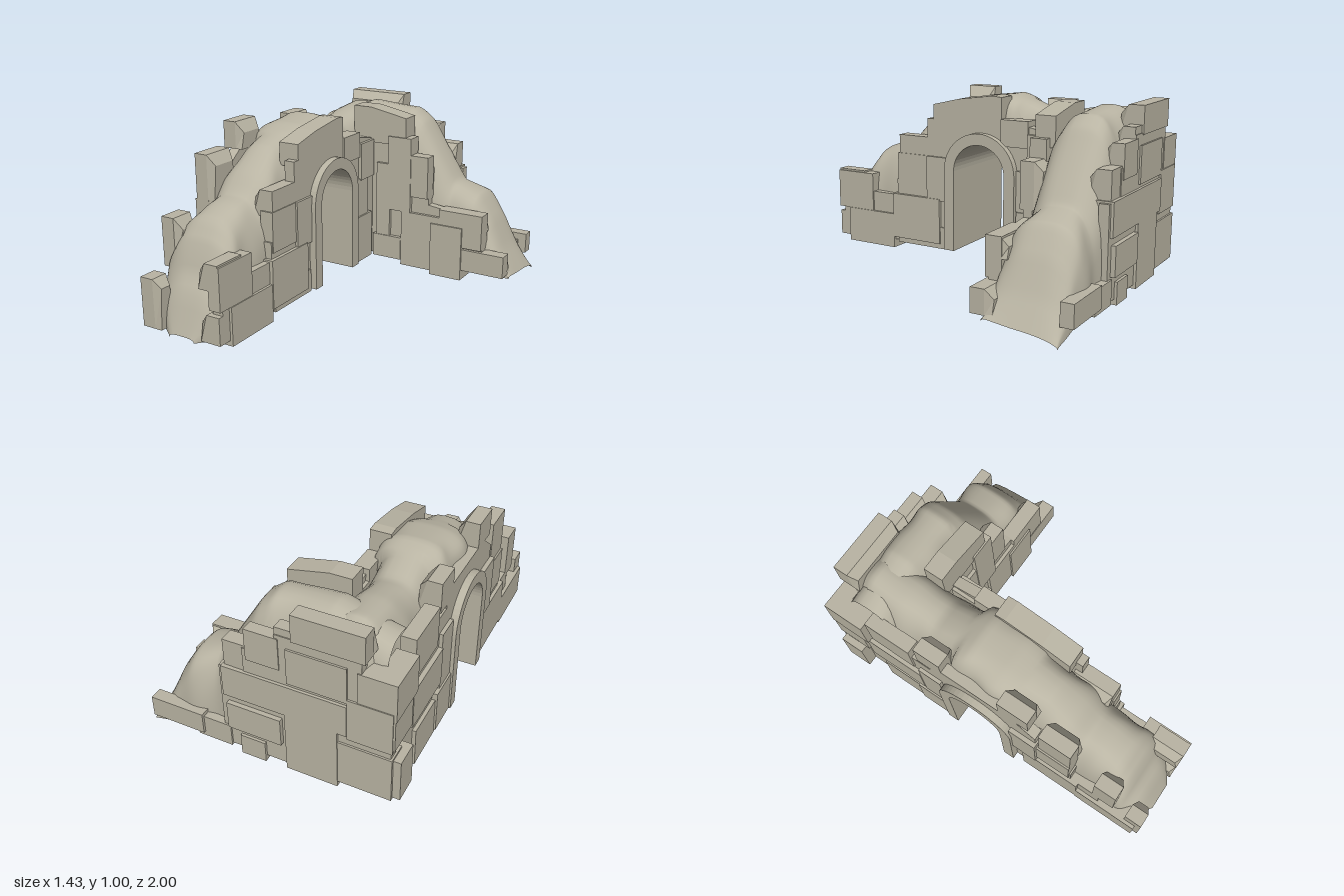
import * as THREE from 'three';
import { toCreasedNormals } from 'three/addons/utils/BufferGeometryUtils.js';

const STONE = 0xb9b4a3;
const ARCH = { z: -0.035, y: 0.555, inner: 0.163, outer: 0.228, base: 0.08 };

export function createModel() {
  const root = new THREE.Group();
  root.name = 'ruinedCornerWall';
  const flat = new THREE.MeshStandardMaterial({ color: STONE, flatShading: true });
  const smooth = new THREE.MeshStandardMaterial({ color: STONE, side: THREE.DoubleSide });

  const add = (parent, name, geo, mat = flat) => {
    const mesh = new THREE.Mesh(geo, mat);
    mesh.name = name;
    parent.add(mesh);
    return mesh;
  };
  const group = (name) => {
    const g = new THREE.Group();
    g.name = name;
    root.add(g);
    return g;
  };

  // Slab cut from a profile (u, y); runs along z or x, filling d0..d1 across
  const slab = (parent, name, shape, axis, d0, d1) => {
    const geo = new THREE.ExtrudeGeometry(shape, { depth: d1 - d0, bevelEnabled: false, curveSegments: 12 });
    if (axis === 'z') geo.rotateY(-Math.PI / 2).translate(d1, 0, 0);
    else geo.translate(0, 0, d0);
    add(parent, name, geo);
  };

  // Stone block [u0, u1, y0, y1, d0, d1, chip]; chip bevels the top edge that faces the rubble
  const block = (parent, axis, [u0, u1, y0, y1, d0, d1, chip = 0], inward) => {
    const geo = axis === 'z' ? new THREE.BoxGeometry(1, 1, 1, 2, 1, 1) : new THREE.BoxGeometry(1, 1, 1, 1, 1, 2);
    const p = geo.attributes.position;
    for (let i = 0; i < p.count; i++) {
      const a = axis === 'z' ? p.getZ(i) : p.getX(i);
      const b = axis === 'z' ? p.getX(i) : p.getZ(i);
      const top = p.getY(i) > 0;
      const chipped = top && b * inward > 0.1;
      const u = (a > 0 ? u1 : u0) - (chipped ? Math.sign(a) * chip * 0.4 : 0);
      const y = (top ? y1 : y0) - (chipped ? chip : 0);
      const d = d0 + (d1 - d0) * (Math.abs(b) < 0.1 ? 0.5 + 0.15 * inward : b + 0.5);
      p.setXYZ(i, axis === 'z' ? d : u, y, axis === 'z' ? u : d);
    }
    add(parent, 'stoneBlock', geo);
  };

  const poly = (pts) => new THREE.Shape(pts.map(([x, y]) => new THREE.Vector2(x, y)));

  const lerpTable = (table, t) => {
    let k = 0;
    while (k < table.length - 2 && t > table[k + 1][0]) k++;
    const [a, b] = [table[k], table[k + 1]];
    const s = THREE.MathUtils.clamp((t - a[0]) / (b[0] - a[0]), 0, 1);
    return a[1] + (b[1] - a[1]) * s;
  };

  // Rubble mound: rounded, lumpy cross-sections lofted along z, open below
  const mound = (crest, centre, width, floor, droop) => {
    const N = 80, M = 24, R = M + 1, pos = [], idx = [];
    const t0 = crest[0][0], t1 = crest[crest.length - 1][0];
    for (let i = 0; i <= N; i++) {
      const t = t0 + ((t1 - t0) * i) / N;
      const yb = floor(t), top = Math.max(lerpTable(crest, t), yb + 0.02);
      const w = lerpTable(width, t) * (1 + 0.04 * Math.sin(t * 17) + 0.02 * Math.sin(t * 31 + 1));
      for (let j = 0; j <= M; j++) {
        const a = (Math.PI * j) / M, c = Math.cos(a), s = Math.abs(Math.sin(a));
        const lump = 1 + 0.03 * Math.sin(t * 21 + j * 0.7) * s;
        const x = centre + Math.sign(c) * Math.pow(Math.abs(c), 0.72) * w * lump;
        const y = yb + (top - yb) * Math.pow(s, 0.6) * (1 + 0.03 * Math.sin(t * 14 + c * 4) * (1 - s));
        pos.push(x, y - droop(t, c), t);
      }
    }
    for (let i = 0; i < N; i++)
      for (let j = 0; j < M; j++) {
        const a = i * R + j, d = a + 1, b = a + R, c = d + R;
        idx.push(a, d, b, b, d, c);
      }
    const geo = new THREE.BufferGeometry();
    geo.setAttribute('position', new THREE.Float32BufferAttribute(pos, 3));
    geo.setIndex(idx);
    // Winding above runs clockwise, so flip each triangle that would face inward
    return toCreasedNormals(geo, 0.9);
  };

  // Rubble filling of the long wing, bridging the archway
  const overArch = (z) => {
    const d = Math.abs(z - ARCH.z);
    return d < 0.2 ? ARCH.y + Math.sqrt(0.2 * 0.2 - d * d) : 0.07;
  };
  add(root, 'longWingRubble', mound(
    [[-0.95, 0.84], [-0.8, 0.96], [-0.6, 0.94], [-0.4, 0.9], [-0.15, 0.995], [0.05, 0.97], [0.3, 0.89], [0.45, 0.77],
      [0.53, 0.68], [0.62, 0.66], [0.75, 0.61], [0.83, 0.5], [0.86, 0.36], [0.92, 0.29], [0.97, 0.17], [1, 0.06]],
    -0.41, [[-0.9, 0.19], [-0.4, 0.205], [0.85, 0.215], [0.94, 0.17], [1, 0.08]],
    overArch, (z) => Math.max(0, z - 0.85) * 0.2), smooth);

  // Rubble filling of the short wing, sloping to the ground
  add(root, 'shortWingRubble', mound(
    [[-0.6, 0.88], [-0.3, 0.98], [0, 0.96], [0.08, 0.9], [0.3, 0.55], [0.46, 0.5], [0.55, 0.37], [0.63, 0.21], [0.715, 0.08]],
    0.745, [[-0.6, 0.19], [0, 0.205], [0.7, 0.205]],
    () => 0.06, (x, c) => Math.max(0, x - 0.5) * 0.14 * (1 + c)).rotateY(Math.PI / 2), smooth);

  // Arch lining through the long wing
  const ring = new THREE.Shape();
  ring.moveTo(ARCH.z + ARCH.outer, ARCH.base);
  ring.lineTo(ARCH.z + ARCH.outer, ARCH.y);
  ring.absarc(ARCH.z, ARCH.y, ARCH.outer, 0, Math.PI, false);
  ring.lineTo(ARCH.z - ARCH.outer, ARCH.base);
  ring.lineTo(ARCH.z - ARCH.inner, ARCH.base);
  ring.lineTo(ARCH.z - ARCH.inner, ARCH.y);
  ring.absarc(ARCH.z, ARCH.y, ARCH.inner, Math.PI, 0, true);
  ring.lineTo(ARCH.z + ARCH.inner, ARCH.base);
  slab(root, 'archway', ring, 'z', -0.7, -0.13);

  // Long wing faces: stepped profile notched around the arch
  const longFace = (back, crest) => {
    const s = poly([[back, 0.08], [ARCH.z - 0.2, 0.08], [ARCH.z - 0.2, ARCH.y]]);
    s.absarc(ARCH.z, ARCH.y, 0.2, Math.PI, 0, true);
    [[ARCH.z + 0.2, 0.08], [0.96, 0.08], [0.96, 0.24], [0.73, 0.24], [0.73, 0.36], [0.55, 0.36], [0.55, 0.46],
      [0.33, 0.46], ...crest].forEach(([u, y]) => s.lineTo(u, y));
    return s;
  };
  const inner = group('longWingInnerFace');
  slab(inner, 'wallSlab', longFace(-0.52, [[0.33, 0.84], [-0.32, 0.84], [-0.52, 0.8]]), 'z', -0.23, -0.17);
  slab(inner, 'slopingCapstone',
    poly([[-0.16, 0.8], [0.29, 0.8], [0.29, 0.925], [0.12, 0.965], [-0.1, 0.995], [-0.16, 0.99]]), 'z', -0.29, -0.17);
  const innerBlocks = [
    [0.73, 0.99, 0.24, 0.47, -0.23, -0.16], [0.8, 0.99, 0.34, 0.48, -0.29, -0.17, 0.05],
    [0.57, 0.91, 0.03, 0.24, -0.28, -0.155], [0.84, 0.99, 0.06, 0.21, -0.29, -0.17, 0.05],
    [0.24, 0.57, 0.1, 0.37, -0.28, -0.15], [0.29, 0.53, 0.59, 0.73, -0.29, -0.17, 0.05],
    [0.3, 0.54, 0.4, 0.62, -0.24, -0.165], [0.2, 0.54, 0.07, 0.2, -0.27, -0.16],
    [0.18, 0.33, 0.36, 0.62, -0.28, -0.155], [-0.45, -0.27, 0.08, 0.36, -0.28, -0.145],
    [-0.42, -0.26, 0.36, 0.59, -0.28, -0.155], [-0.33, -0.16, 0.72, 0.87, -0.25, -0.16],
    [-0.48, -0.33, 0.58, 0.8, -0.25, -0.15]];
  innerBlocks.forEach((r) => block(inner, 'z', r, -1));

  const outer = group('longWingOuterFace');
  slab(outer, 'wallSlab', longFace(-0.97, [[0.33, 0.76], [0.2, 0.86], [-0.32, 0.86], [-0.32, 0.76], [-0.97, 0.76]]),
    'z', -0.66, -0.6);
  const outerBlocks = [
    [0.9, 1, 0.06, 0.33, -0.66, -0.54, 0.05], [0.6, 0.97, 0.06, 0.24, -0.68, -0.58],
    [0.69, 0.82, 0.33, 0.6, -0.66, -0.54, 0.06], [0.35, 0.54, 0.6, 0.87, -0.66, -0.54, 0.06],
    [0.25, 0.6, 0.08, 0.36, -0.68, -0.58], [0.11, 0.29, 0.85, 1, -0.66, -0.54, 0.06],
    [0.3, 0.54, 0.4, 0.62, -0.67, -0.58], [0.18, 0.34, 0.36, 0.68, -0.685, -0.58],
    [-0.4, -0.24, 0.78, 0.95, -0.66, -0.54, 0.05], [-0.45, -0.26, 0.08, 0.32, -0.69, -0.58],
    [-0.4, -0.26, 0.32, 0.66, -0.68, -0.58], [-0.7, -0.44, 0.06, 0.28, -0.68, -0.58]];
  const cornerBlocks = [
    [-0.76, -0.4, 0.36, 0.58, -0.685, -0.58], [-0.72, -0.44, 0.62, 0.85, -0.67, -0.59],
    [-0.97, -0.83, 0.09, 0.33, -0.72, -0.58], [-0.98, -0.78, 0.4, 0.6, -0.69, -0.58],
    [-0.98, -0.74, 0.58, 0.79, -0.695, -0.58]];
  [...outerBlocks, ...cornerBlocks].forEach((r) => block(outer, 'z', r, 1));

  // Short wing front face
  const front = group('shortWingFrontFace');
  slab(front, 'wallSlab', poly([[-0.28, 0.08], [0.56, 0.08], [0.56, 0.4], [0.21, 0.44], [0.21, 0.6], [0.1, 0.6],
    [0.1, 0.82], [-0.28, 0.82]]), 'x', -0.55, -0.5);
  slab(front, 'slopingCapstone', poly([[-0.29, 0.78], [0.06, 0.78], [0.06, 0.945], [-0.17, 0.99], [-0.29, 0.99]]),
    'x', -0.6, -0.485);
  const frontBlocks = [
    [-0.13, -0.04, 0.21, 0.66, -0.6, -0.48], [-0.05, 0.1, 0.38, 0.83, -0.57, -0.475],
    [-0.15, 0.04, 0.07, 0.21, -0.6, -0.475], [0.04, 0.29, 0.04, 0.38, -0.6, -0.48],
    [0.08, 0.21, 0.48, 0.73, -0.6, -0.48, 0.05], [0.24, 0.44, 0.02, 0.34, -0.6, -0.47],
    [0.29, 0.56, 0.22, 0.43, -0.57, -0.48], [0.42, 0.7, 0.08, 0.21, -0.6, -0.48, 0.05],
    [0.41, 0.56, 0.32, 0.43, -0.6, -0.49, 0.05]];
  frontBlocks.forEach((r) => block(front, 'x', r, -1));

  // Back face across both wings
  const back = group('backFace');
  slab(back, 'wallSlab', poly([[-0.67, 0.07], [0.62, 0.07], [0.62, 0.17], [0.24, 0.17], [0.24, 0.57], [0.1, 0.57],
    [0.1, 0.72], [-0.08, 0.72], [-0.08, 0.86], [-0.52, 0.86], [-0.52, 0.77], [-0.67, 0.77]]), 'x', -0.975, -0.92);
  const backBlocks = [
    [-0.54, -0.17, 0.85, 1, -0.98, -0.85, 0.05], [-0.2, -0.08, 0.74, 0.9, -0.97, -0.87, 0.04],
    [0.06, 0.21, 0.56, 0.73, -0.97, -0.85, 0.05], [-0.1, 0.08, 0.66, 0.84, -0.98, -0.88, 0.04],
    [0.36, 0.67, 0.09, 0.21, -1, -0.93], [0.2, 0.4, 0.06, 0.19, -0.985, -0.88],
    [-0.45, 0.22, 0.4, 0.58, -0.99, -0.88], [-0.1, 0.2, 0.2, 0.36, -1, -0.87],
    [0.0, 0.14, 0.04, 0.16, -0.99, -0.88], [-0.68, -0.4, 0.08, 0.34, -0.985, -0.87],
    [-0.4, -0.12, 0.05, 0.4, -0.99, -0.88], [-0.68, -0.45, 0.38, 0.62, -0.985, -0.87],
    [-0.45, -0.14, 0.6, 0.8, -0.985, -0.88], [-0.68, -0.5, 0.6, 0.79, -0.98, -0.88]];
  backBlocks.forEach((r) => block(back, 'x', r, 1));

  return root;
}
